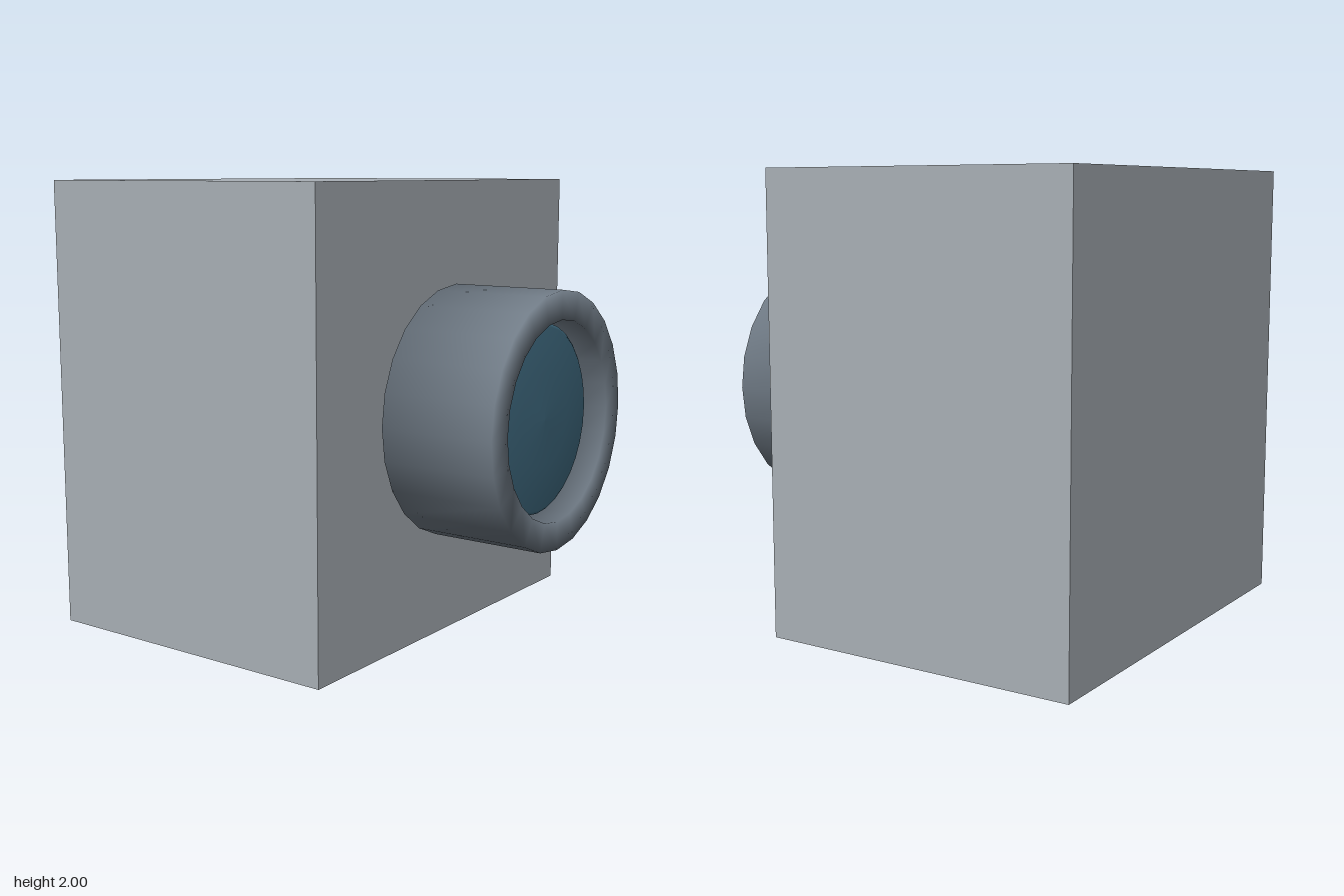
import * as THREE from 'three';

const material = (name, color) => {
  const m = new THREE.MeshStandardMaterial({ color });
  m.name = name;
  return m;
};

// Solid of revolution along z; profile points are [radius, z], back to front
function turned(name, profile, sides, mat) {
  const points = profile.map(([r, z]) => new THREE.Vector2(r, z));
  const geometry = new THREE.LatheGeometry(points, sides).rotateX(Math.PI / 2);
  const mesh = new THREE.Mesh(geometry, mat);
  mesh.name = name;
  mesh.position.y = 1;
  return mesh;
}

export function createModel() {
  const model = new THREE.Group();
  model.name = 'boxCamera';
  const bodyGrey = material('body grey', 0xa9b0b6);
  const barrelGrey = material('barrel slate grey', 0x707b86);
  const glassBlue = material('glass blue', 0x3f6a80);

  // Body block
  const body = new THREE.Mesh(new THREE.BoxGeometry(1.92, 2, 1.45), bodyGrey);
  body.name = 'body';
  body.position.set(0, 1, -0.27);
  model.add(body);

  // Lens barrel, softly shaded across its rims, with a shallow recess in front
  model.add(turned('lensBarrel', [
    [0, 0.475], [0.555, 0.475], [0.555, 0.995],
    [0.43, 0.995], [0.43, 0.87], [0, 0.87],
  ], 24, barrelGrey));

  // Slightly domed glass sitting in the recess
  model.add(turned('lensGlass', [
    [0.41, 0.865], [0.41, 0.895], [0.395, 0.905], [0.2, 0.92], [0, 0.925],
  ], 32, glassBlue));

  return model;
}
